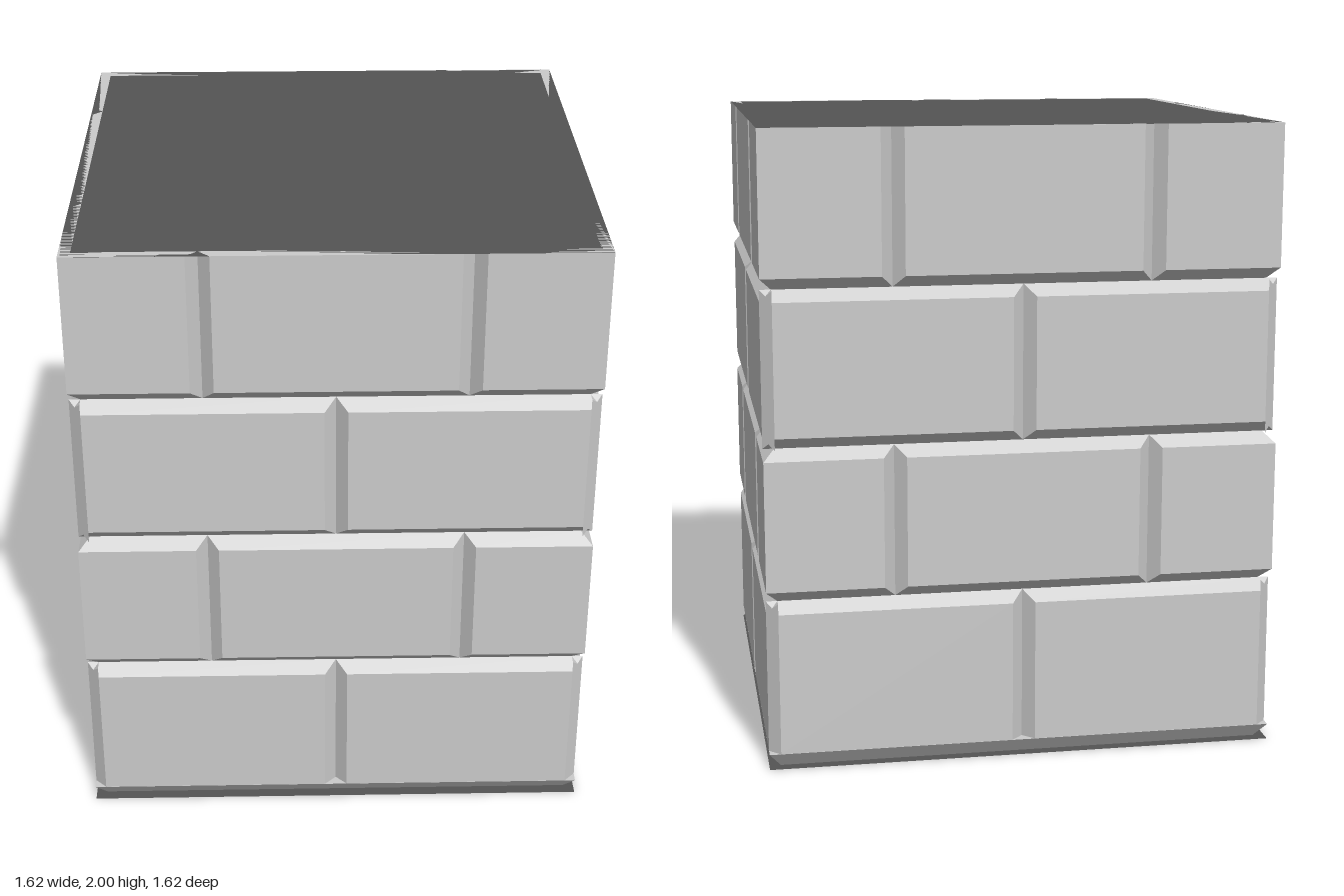
import * as THREE from 'three';

const HALF = 0.81;   // outer face of the bricks
const B = 0.036;     // bevel width and joint depth
const INNER = HALF - B;

const stone = new THREE.MeshStandardMaterial({ color: 0xcccccc, flatShading: true });
const dark = new THREE.MeshStandardMaterial({ color: 0x545454, side: THREE.DoubleSide });

// One raised brick on the front wall: base rectangle at the joint depth, inset face in front of it.
// Each rectangle is [x0, x1, y0, y1].
function brickGeometry(base, face) {
  const corners = ([x0, x1, y0, y1], z) => [[x0, y0, z], [x1, y0, z], [x1, y1, z], [x0, y1, z]];
  const b = corners(base, INNER), f = corners(face, HALF);
  const positions = [];
  const quad = (p, q, r, s) => positions.push(...p, ...q, ...r, ...p, ...r, ...s);
  quad(...f);
  for (let i = 0; i < 4; i++) {
    const j = (i + 1) % 4;
    quad(b[i], b[j], f[j], f[i]);
  }
  const geometry = new THREE.BufferGeometry();
  geometry.setAttribute('position', new THREE.Float32BufferAttribute(positions, 3));
  geometry.computeVertexNormals();
  return geometry;
}

// Courses from the ground up, with the joint positions along the wall
const courses = [
  { y0: 0.05, y1: 0.54, bottom: 0, top: B, joints: [0], wraps: false },
  { y0: 0.54, y1: 1.025, bottom: B, top: B, joints: [-0.405, 0.405], wraps: true },
  { y0: 1.025, y1: 1.515, bottom: B, top: B, joints: [0], wraps: false },
  { y0: 1.515, y1: 2, bottom: B, top: 0, joints: [-0.405, 0.405], wraps: true },
];

function createWall() {
  const wall = new THREE.Group();
  for (const { y0, y1, bottom, top, joints, wraps } of courses) {
    // Wrapping courses have sharp corners, the others are chamfered there
    const baseEnd = wraps ? INNER : HALF;
    const faceEnd = wraps ? HALF : INNER;
    const baseEdges = [-baseEnd, ...joints, baseEnd];
    for (let i = 0; i < baseEdges.length - 1; i++) {
      const x0 = baseEdges[i], x1 = baseEdges[i + 1];
      const f0 = i === 0 ? -faceEnd : x0 + B;
      const f1 = i === baseEdges.length - 2 ? faceEnd : x1 - B;
      const brick = new THREE.Mesh(
        brickGeometry([x0, x1, y0, y1], [f0, f1, y0 + bottom, y1 - top]), stone);
      brick.name = 'brick';
      wall.add(brick);
    }
  }
  return wall;
}

export function createModel() {
  const model = new THREE.Group();
  model.name = 'brickPillar';

  // Four identical walls
  ['front', 'left', 'back', 'right'].forEach((side, i) => {
    const wall = createWall();
    wall.name = side + 'Wall';
    wall.rotation.y = i * Math.PI / 2;
    model.add(wall);
  });

  // Mortar core behind the joints
  const core = new THREE.Mesh(new THREE.BoxGeometry(2 * INNER - 0.004, 1.98, 2 * INNER - 0.004), stone);
  core.name = 'core';
  core.position.y = 1;
  model.add(core);

  // Undercut strip along the foot
  const foot = new THREE.Mesh(
    new THREE.CylinderGeometry(HALF * Math.SQRT2, INNER * Math.SQRT2, 0.05, 4, 1)
      .rotateY(Math.PI / 4), stone);
  foot.name = 'footBevel';
  foot.position.y = 0.025;
  foot.scale.y = 0.98;
  model.add(foot);

  // Dark flat caps over the full square
  for (const [name, y, turn] of [['topCap', 2, -1], ['bottomCap', 0, 1]]) {
    const cap = new THREE.Mesh(new THREE.PlaneGeometry(2 * HALF, 2 * HALF), dark);
    cap.name = name;
    cap.rotation.x = turn * Math.PI / 2;
    cap.position.y = y;
    model.add(cap);
  }
  return model;
}
